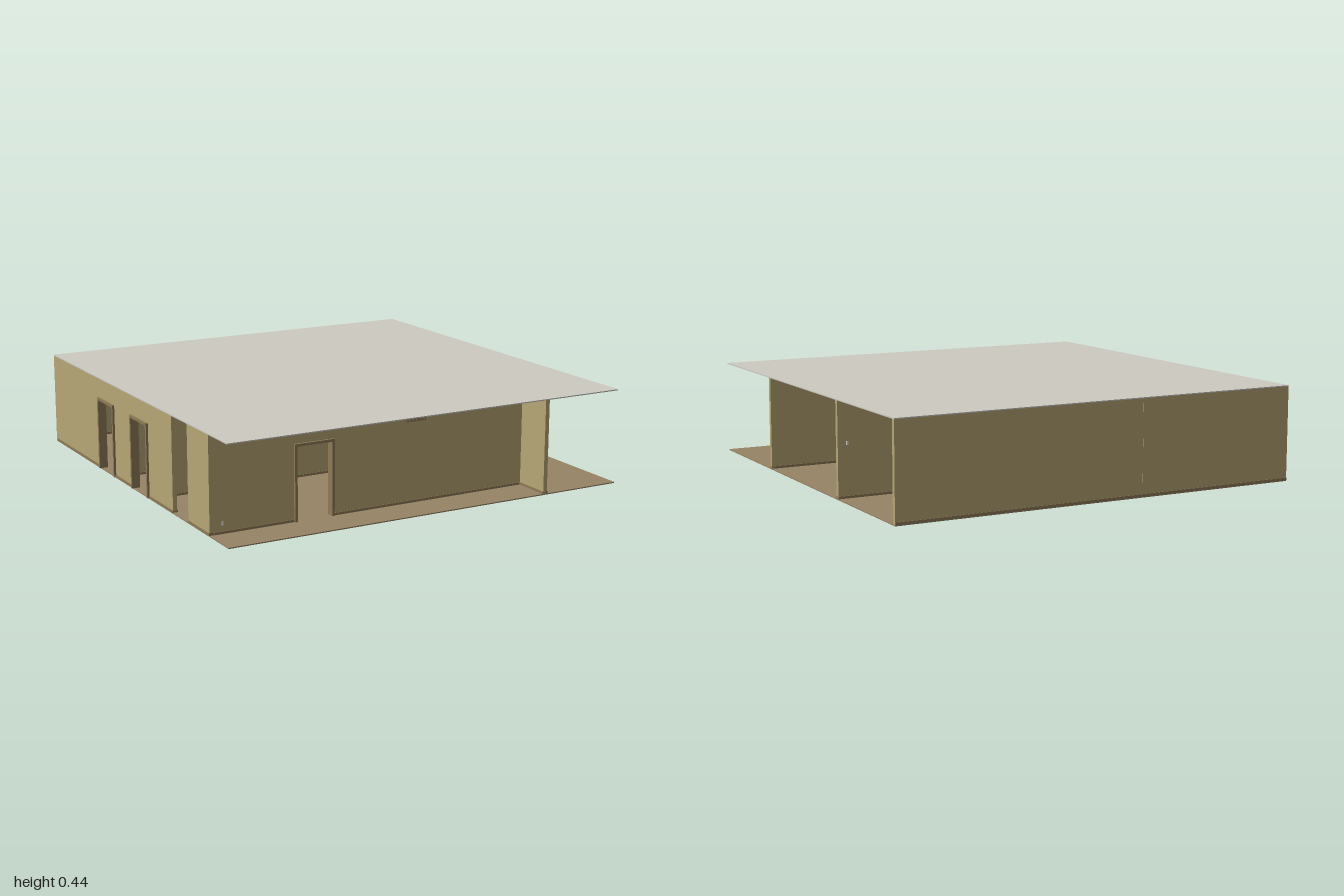
import * as THREE from 'three';

const T = 0.02;        // wall thickness
const FLOOR = 0.005;   // top of floor slab
const TOP = 0.44;      // underside of ceiling
const DOOR = 0.34;     // door opening height

function mat(name, color) {
  const m = new THREE.MeshStandardMaterial({ color });
  m.name = name;
  return m;
}

export function createModel() {
  const model = new THREE.Group();
  model.name = 'house';
  const wallMat = mat('wall tan', 0xb6a675);
  const trimMat = mat('trim brown', 0x8e7b57);
  const floorMat = mat('floor brown', 0x968466);
  const roofMat = mat('roof warm grey', 0xcecac2);
  const ceilingMat = mat('ceiling grey', 0xcacaca);
  const plateMat = mat('switch plate white', 0xe6e4dc);

  // Box given by its low and high corners
  function box(parent, name, material, x0, x1, y0, y1, z0, z1) {
    const mesh = new THREE.Mesh(new THREE.BoxGeometry(x1 - x0, y1 - y0, z1 - z0), material);
    mesh.position.set((x0 + x1) / 2, (y0 + y1) / 2, (z0 + z1) / 2);
    mesh.name = name;
    parent.add(mesh);
  }

  // Wall along x or z from a to b; each opening is [start, end, isDoor]
  function wall(name, axis, at, a, b, openings = []) {
    const g = new THREE.Group();
    g.name = name;
    model.add(g);
    const run = (part, m, s, e, y0, y1, half) => axis === 'x'
      ? box(g, part, m, s, e, y0, y1, at - half, at + half)
      : box(g, part, m, at - half, at + half, y0, y1, s, e);
    let s = a;
    for (const [o0, o1, isDoor] of [...openings, [b, b, false]]) {
      run('panel', wallMat, s, o0, FLOOR, TOP, T / 2);
      run('baseboard', trimMat, s, o0, FLOOR, 0.016, T / 2 + 0.003);
      if (isDoor) {
        run('lintel', wallMat, o0, o1, DOOR, TOP, T / 2);
        const half = T / 2 + 0.01;
        run('doorJamb', trimMat, o0 - 0.01, o0 + 0.002, FLOOR, DOOR, half);
        run('doorJamb', trimMat, o1 - 0.002, o1 + 0.01, FLOOR, DOOR, half);
        run('doorHead', trimMat, o0 - 0.01, o1 + 0.01, DOOR - 0.002, DOOR + 0.01, half);
      }
      s = o1;
    }
  }

  // Floor, roof and ceiling
  box(model, 'floor', floorMat, -0.988, 0.995, 0, FLOOR, -0.99, 0.99);
  box(model, 'roof', roofMat, -0.988, 0.995, TOP + 0.001, 0.445, -0.99, 0.99);
  box(model, 'ceiling', ceilingMat, -0.988, 0.995, TOP, TOP + 0.001, -0.99, 0.99);

  // Outer walls
  wall('backWall', 'x', -0.98, -0.988, 0.995);
  wall('rightSideWall', 'z', -0.978, -0.97, 0.81,
    [[-0.385, -0.215, true], [0.005, 0.175, true], [0.44, 0.6, false]]);
  wall('frontWall', 'x', 0.8, -0.968, 0.59, [[-0.578, -0.405, true]]);

  // Wall behind the three open bays, and the fins between them
  wall('bayWall', 'z', 0.6, -0.8, 0.99);
  wall('frontFin', 'x', 0.4, 0.61, 0.995);
  wall('backFin', 'x', -0.4, 0.61, 0.995);

  // Inner partitions
  wall('crossPartition', 'z', -0.21, -0.991, -0.2);
  wall('partition', 'x', -0.2, -0.968, -0.2);
  wall('partition', 'x', 0.2, -0.968, 0.59);

  // Vent grille with slats
  const vent = new THREE.Group();
  vent.name = 'vent';
  model.add(vent);
  box(vent, 'ventPlate', trimMat, -0.03, 0.07, 0.375, 0.42, 0.81, 0.813);
  for (let i = 0; i < 5; i++) {
    const y = 0.38 + i * 0.008;
    box(vent, 'ventSlat', trimMat, -0.025, 0.065, y, y + 0.004, 0.813, 0.816);
  }

  // Sockets and switch plates
  for (const [x, y, z] of [[-0.93, 0.05, 0.811], [0.925, 0.05, -0.389], [0.95, 0.25, -0.411]]) {
    box(model, 'switchPlate', plateMat, x - 0.005, x + 0.005, y - 0.008, y + 0.008, z - 0.001, z + 0.001);
  }
  return model;
}
